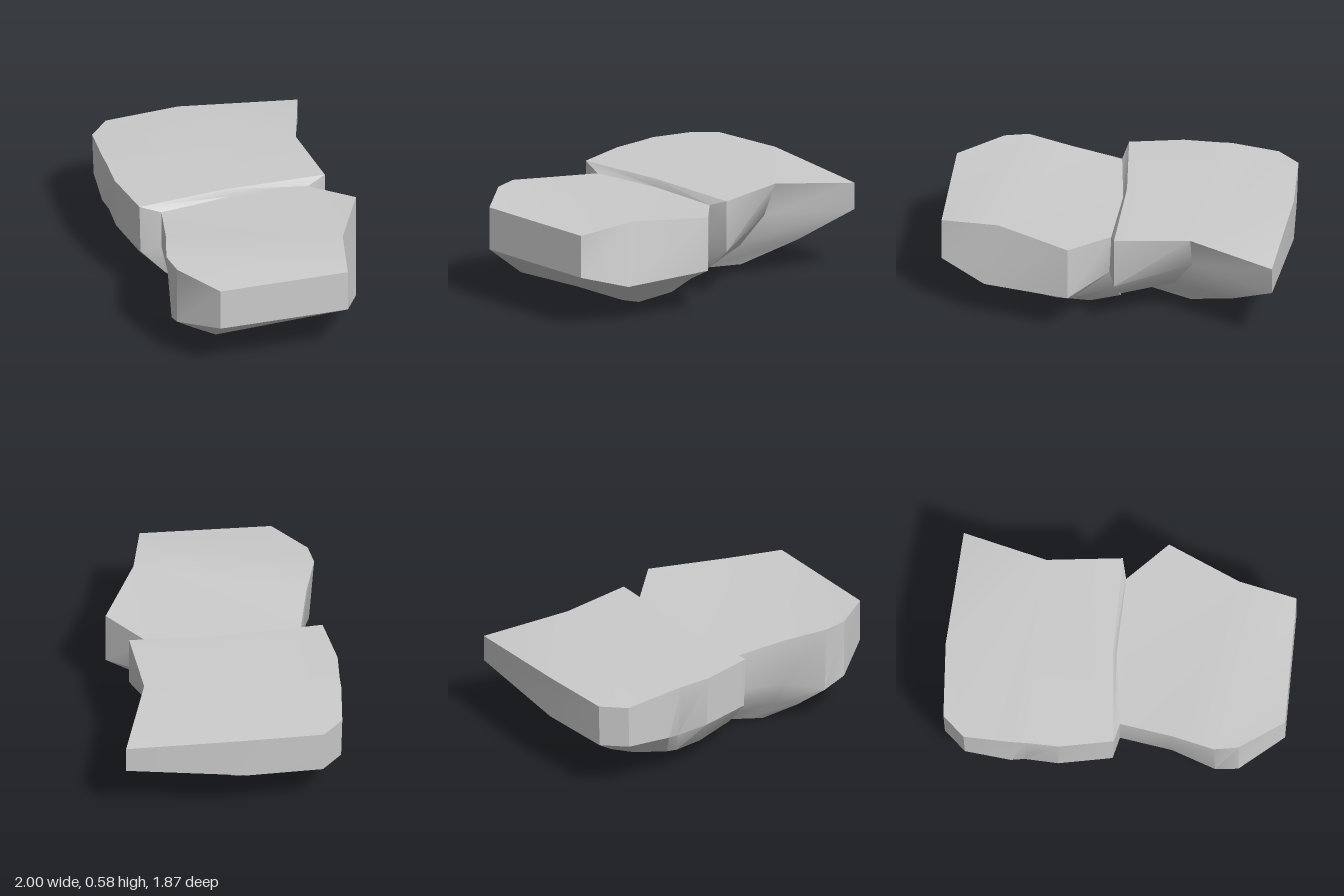
import * as THREE from 'three';
import { toCreasedNormals } from 'three/addons/utils/BufferGeometryUtils.js';

// Rings run from the top edge down to the sole, counter-clockwise seen from above.
const backRings = [
  [[0.31, 0.57, -0.34], [-0.05, 0.57, -0.55], [-0.34, 0.505, -0.94], [-0.77, 0.55, -0.43], [-1, 0.545, -0.08], [-0.97, 0.545, 0.08],
    [-0.77, 0.57, 0.25], [-0.7, 0.57, 0.3], [-0.56, 0.57, 0.41], [-0.29, 0.57, 0.54], [-0.03, 0.57, 0.11]],
  [[0.31, 0.28, -0.34], [-0.1, 0.37, -0.48], [-0.34, 0.355, -0.94], [-0.77, 0.31, -0.43], [-0.99, 0.3, -0.08], [-0.96, 0.3, 0.08],
    [-0.77, 0.285, 0.25], [-0.7, 0.27, 0.28], [-0.56, 0.28, 0.4], [-0.29, 0.28, 0.53], [-0.03, 0.28, 0.1]],
  [[0.22, 0.16, -0.23], [-0.07, 0.2, -0.35], [-0.26, 0.19, -0.64], [-0.6, 0.17, -0.36], [-0.82, 0.19, -0.07], [-0.8, 0.18, 0.06],
    [-0.65, 0.13, 0.2], [-0.6, 0.12, 0.24], [-0.46, 0.12, 0.33], [-0.2, 0.12, 0.42], [-0.02, 0.14, 0.08]],
  [[0.13, 0.06, -0.1], [-0.04, 0.065, -0.12], [-0.17, 0.06, -0.34], [-0.38, 0.045, -0.16], [-0.46, 0.045, -0.03], [-0.45, 0.04, 0.03],
    [-0.4, 0.035, 0.12], [-0.36, 0.035, 0.16], [-0.27, 0.035, 0.22], [-0.1, 0.03, 0.32], [0.02, 0.05, 0.08]],
];
const frontRings = [
  [[0.27, 0.53, -0.24], [0, 0.53, 0.1], [-0.2, 0.53, 0.46], [0, 0.56, 0.68], [0.15, 0.58, 0.87],
    [0.27, 0.575, 0.93], [0.57, 0.55, 0.93], [1, 0.55, 0.35], [0.78, 0.575, 0.11], [0.57, 0.555, -0.28]],
  [[0.27, 0.3, -0.22], [0, 0.3, 0.1], [-0.2, 0.31, 0.46], [0.01, 0.28, 0.66], [0.17, 0.19, 0.85],
    [0.27, 0.24, 0.93], [0.57, 0.31, 0.93], [1, 0.31, 0.35], [0.87, 0.23, 0.11], [0.57, 0.25, -0.28]],
  [[0.2, 0.15, -0.16], [0, 0.15, 0.1], [-0.15, 0.15, 0.4], [0.04, 0.14, 0.6], [0.14, 0.09, 0.7],
    [0.25, 0.11, 0.76], [0.42, 0.14, 0.78], [0.75, 0.17, 0.35], [0.66, 0.13, 0.14], [0.42, 0.12, -0.1]],
  [[0.13, 0.05, -0.1], [0.02, 0.06, 0.1], [-0.08, 0.05, 0.3], [0.03, 0.02, 0.45], [0.1, 0, 0.52],
    [0.15, 0.005, 0.53], [0.22, 0.01, 0.5], [0.42, 0.01, 0.22], [0.41, 0, 0.13], [0.28, 0.025, -0.03]],
];

// Skins stacked rings; the top is split into polygons so its ridge stays crisp.
function loft(name, rings, topPolygons) {
  const n = rings[0].length;
  const index = [];
  for (let r = 0; r < rings.length - 1; r++) {
    for (let i = 0; i < n; i++) {
      const j = (i + 1) % n;
      const t = r * n, l = t + n;
      index.push(l + i, l + j, t + j, l + i, t + j, t + i);
    }
  }
  const cap = (ring, offset, polygon, up) => {
    const flat = polygon.map((i) => new THREE.Vector2(ring[i][0], -ring[i][2]));
    for (const [a, b, c] of THREE.ShapeUtils.triangulateShape(flat, [])) {
      const ccw = THREE.ShapeUtils.area([flat[a], flat[b], flat[c]]) > 0;
      const order = ccw === up ? [a, b, c] : [a, c, b];
      index.push(...order.map((k) => offset + polygon[k]));
    }
  };
  topPolygons.forEach((p) => cap(rings[0], 0, p, true));
  cap(rings.at(-1), (rings.length - 1) * n, rings[0].map((_, i) => i), false);

  const geometry = new THREE.BufferGeometry();
  geometry.setAttribute('position', new THREE.Float32BufferAttribute(rings.flat(2), 3));
  geometry.setIndex(index);
  const mesh = new THREE.Mesh(
    toCreasedNormals(geometry, 0.55),
    new THREE.MeshStandardMaterial({ color: 0xcccccc, side: THREE.DoubleSide })
  );
  mesh.name = name;
  return mesh;
}

export function createModel() {
  const group = new THREE.Group();
  group.name = 'splitSlab';

  group.add(loft('backSlab', backRings, [[0, 1, 6, 7, 8, 9, 10], [1, 2, 3, 4, 5, 6]]));
  group.add(loft('frontSlab', frontRings, [[0, 1, 2, 3, 4, 8, 9], [4, 5, 6, 7, 8]]));

  // Sloping seam joining the inner edges of the two slabs
  const seamRings = backRings.map((a, k) => {
    const b = frontRings[k];
    return [b[0], a[0], a[10], a[9], b[2], b[1]];
  });
  group.add(loft('seam', seamRings, [[0, 1, 2, 5], [5, 2, 3, 4]]));

  return group;
}
